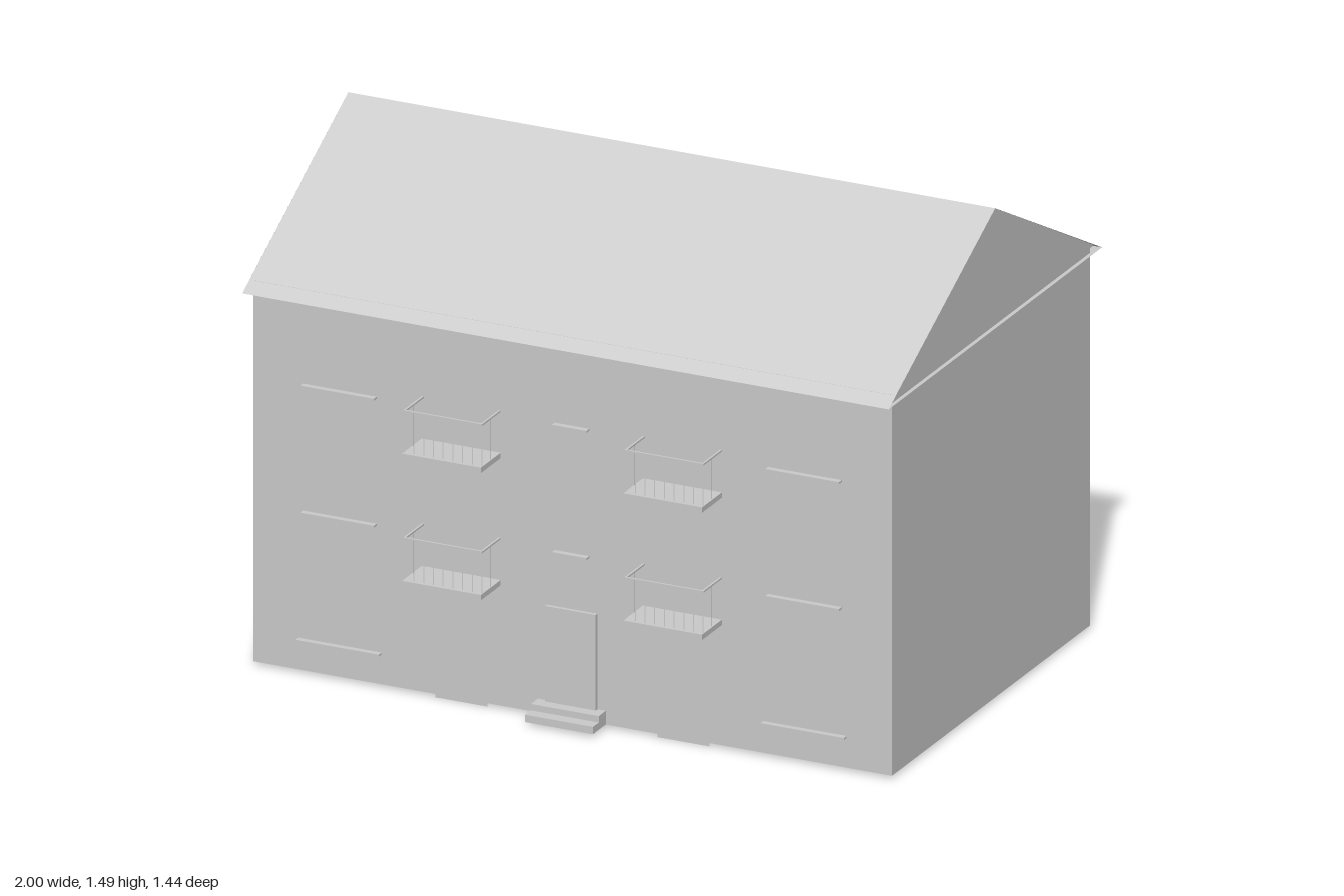
import * as THREE from 'three';

const material = new THREE.MeshStandardMaterial({ color: 0xcccccc, flatShading: true });
const sheetMaterial = new THREE.MeshStandardMaterial({ color: 0xcccccc, flatShading: true, side: THREE.DoubleSide });

const FRONT = 0.592, BACK = -0.669, WALL_X = 0.988, WALL_TOP = 1.15;
const RIDGE_Y = 1.485, RIDGE_Z = -0.04, EAVE_Y = 1.125, EAVE_FRONT = 0.638, EAVE_BACK = -0.72;

// Box given by its limits on each axis
function block(parent, name, x0, x1, y0, y1, z0, z1) {
  const mesh = new THREE.Mesh(new THREE.BoxGeometry(x1 - x0, y1 - y0, z1 - z0), material);
  mesh.position.set((x0 + x1) / 2, (y0 + y1) / 2, (z0 + z1) / 2);
  mesh.name = name;
  parent.add(mesh);
}

// Thin flat sheet with three or four corners
function sheet(parent, name, corners) {
  const geometry = new THREE.BufferGeometry();
  geometry.setAttribute('position', new THREE.Float32BufferAttribute(corners.flat(), 3));
  geometry.setIndex(corners.length === 4 ? [0, 1, 2, 0, 2, 3] : [0, 1, 2]);
  geometry.computeVertexNormals();
  const mesh = new THREE.Mesh(geometry, sheetMaterial);
  mesh.name = name;
  parent.add(mesh);
}

// Upright sheet facing front or back
function facingZ(parent, name, x0, x1, y0, y1, z) {
  sheet(parent, name, [[x0, y0, z], [x1, y0, z], [x1, y1, z], [x0, y1, z]]);
}

// Upright sheet facing one side
function facingX(parent, name, x, y0, y1, z0, z1) {
  const corners = [[x, y0, z1], [x, y0, z0], [x, y1, z0], [x, y1, z1]];
  sheet(parent, name, x > 0 ? corners : corners.reverse());
}

// Four thin walls, open underneath
function addWalls(parent) {
  const walls = new THREE.Group();
  walls.name = 'walls';
  facingZ(walls, 'frontWall', -WALL_X, WALL_X, 0.01, WALL_TOP, FRONT);
  facingZ(walls, 'backWall', WALL_X, -WALL_X, 0.01, WALL_TOP, BACK);
  for (const s of [-1, 1]) facingX(walls, 'sideWall', s * WALL_X, 0.01, WALL_TOP, BACK, FRONT);
  parent.add(walls);
}

// Two slopes, a flat soffit and a gable at each end
function addRoof(parent) {
  const roof = new THREE.Group();
  roof.name = 'roof';
  sheet(roof, 'frontSlope', [[-1, EAVE_Y, EAVE_FRONT], [1, EAVE_Y, EAVE_FRONT], [1, RIDGE_Y, RIDGE_Z], [-1, RIDGE_Y, RIDGE_Z]]);
  sheet(roof, 'backSlope', [[1, EAVE_Y, EAVE_BACK], [-1, EAVE_Y, EAVE_BACK], [-1, RIDGE_Y, RIDGE_Z], [1, RIDGE_Y, RIDGE_Z]]);
  sheet(roof, 'soffit', [[-1, EAVE_Y, EAVE_BACK], [1, EAVE_Y, EAVE_BACK], [1, EAVE_Y, EAVE_FRONT], [-1, EAVE_Y, EAVE_FRONT]]);
  for (const s of [-1, 1]) {
    const gable = [[s, WALL_TOP, FRONT], [s, WALL_TOP, BACK], [s, RIDGE_Y, RIDGE_Z]];
    sheet(roof, 'gable', s > 0 ? gable : gable.reverse());
    sheet(roof, 'gableLedge', [[s * WALL_X, WALL_TOP, FRONT], [s, WALL_TOP, FRONT], [s, WALL_TOP, BACK], [s * WALL_X, WALL_TOP, BACK]]);
  }
  parent.add(roof);
}

// Balcony with slab, three-sided handrail and thin flat balusters
function addBalcony(parent, x0, floor) {
  const balcony = new THREE.Group();
  balcony.name = 'balcony';
  const x1 = x0 + 0.244, top = floor + 0.143, z = 0.707;
  block(balcony, 'slab', x0, x1, floor, floor + 0.016, FRONT - 0.002, 0.718);
  block(balcony, 'frontRail', x0, x1, top - 0.005, top, z - 0.003, z + 0.003);
  for (const x of [x0 + 0.003, x1 - 0.003]) {
    block(balcony, 'sideRail', x - 0.003, x + 0.003, top - 0.005, top, FRONT - 0.002, z);
    facingX(balcony, 'sideBaluster', x, floor + 0.016, top, 0.65, 0.653);
  }
  for (let i = 0; i < 9; i++) {
    const x = x0 + 0.002 + i * 0.03;
    facingZ(balcony, 'baluster', x - 0.0015, x + 0.0015, floor + 0.016, top, z);
  }
  parent.add(balcony);
}

export function createModel() {
  const house = new THREE.Group();
  house.name = 'house';
  addWalls(house);
  addRoof(house);

  // Front window sills
  const frontSill = (x0, x1, y) => block(house, 'frontSill', x0, x1, y - 0.003, y + 0.003, FRONT - 0.002, 0.61);
  for (const s of [-1, 1]) {
    for (const [inner, outer, y] of [[0.59, 0.848, 0.102], [0.605, 0.833, 0.485], [0.605, 0.833, 0.865]]) {
      frontSill(Math.min(s * inner, s * outer), Math.max(s * inner, s * outer), y);
    }
  }
  for (const y of [0.502, 0.883]) frontSill(-0.055, 0.052, y);

  // Back window sills
  for (const y of [0.49, 0.872]) {
    for (const [x, half, lift] of [[-0.713, 0.1, 0], [-0.345, 0.1, 0], [0, 0.055, 0.012], [0.345, 0.1, 0], [0.713, 0.1, 0]]) {
      block(house, 'backSill', x - half, x + half, y + lift - 0.003, y + lift + 0.003, -0.683, BACK + 0.002);
    }
  }

  // Balconies on two floors
  for (const floor of [0.37, 0.751]) {
    for (const x0 of [-0.466, 0.218]) addBalcony(house, x0, floor);
  }

  // Entrance
  block(house, 'door', -0.08, 0.077, 0.05, 0.337, FRONT - 0.002, 0.603);
  block(house, 'lowerStep', -0.107, 0.103, 0.01, 0.032, FRONT - 0.002, 0.674);
  block(house, 'upperStep', -0.107, 0.103, 0.032, 0.051, FRONT - 0.002, 0.637);

  // Basement window strips just below the front wall
  for (const x of [-0.343, 0.343]) facingZ(house, 'basementStrip', x - 0.08, x + 0.08, 0, 0.01, FRONT);
  return house;
}
